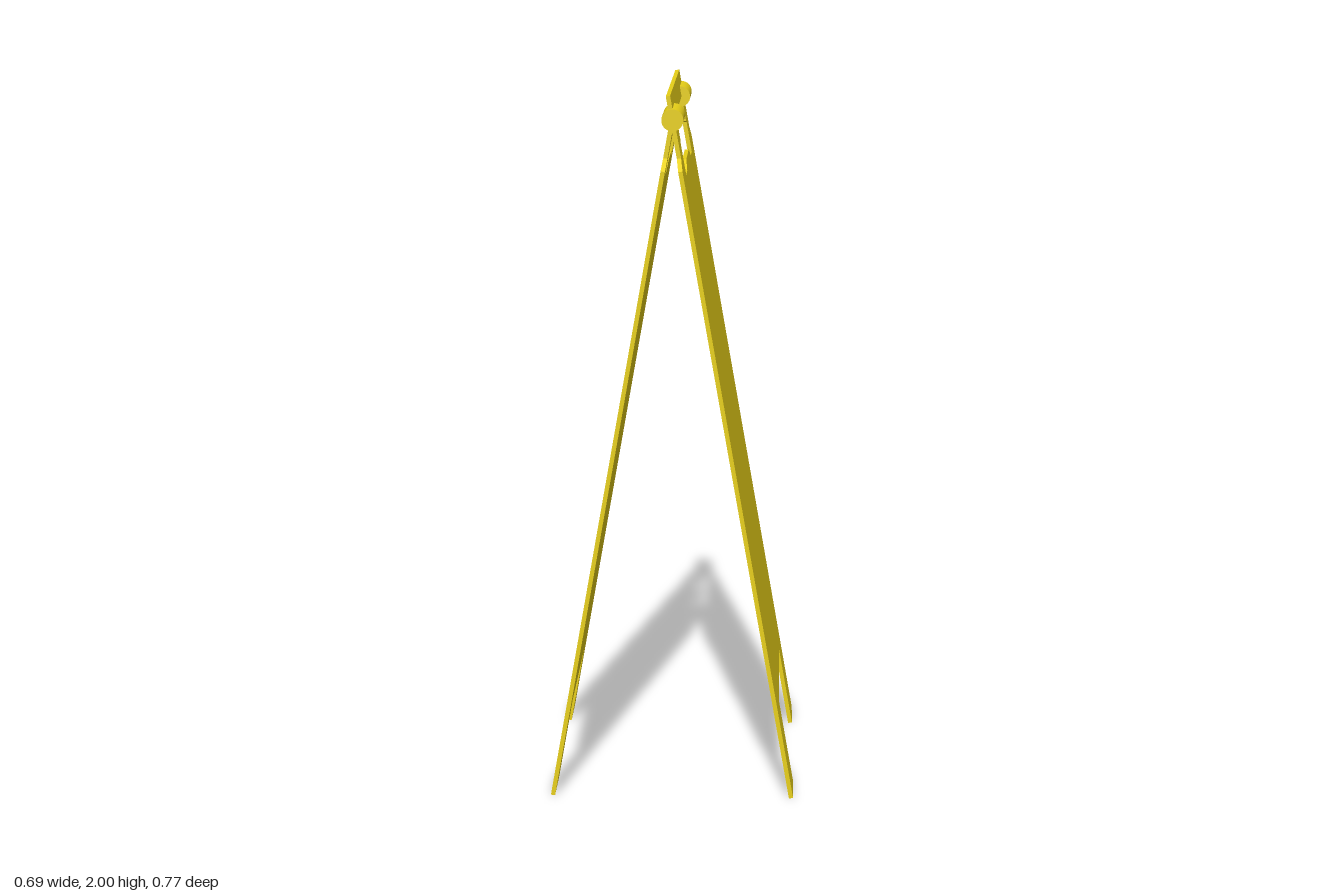
import * as THREE from 'three';

const TILT = THREE.MathUtils.degToRad(10);
const HINGE_Y = 1.935;
const THICK = 0.012;
const COS = Math.cos(TILT);

// Half outline of a panel: [z, height], from the middle of the foot gap round to the handle hole
const HALF = [
  [0.24, 0.24], [0.24, 0.001], [0.385, 0.001], [0.385, 1.8], [0.34, 1.83], [0.34, 1.935],
  [0.222, 1.935], [0.222, 1.862], [0.24, 1.857], [0.24, 1.77], [0.155, 1.77], [0.105, 1.795],
];

// Flat sheet from [z, height] points, measured along the slope from the hinge
function sheet(points) {
  const shape = new THREE.Shape(points.map(([z, y]) => new THREE.Vector2(z, (y - HINGE_Y) / COS)));
  const geo = new THREE.ExtrudeGeometry(shape, { depth: THICK, bevelEnabled: false });
  geo.translate(0, 0, -THICK / 2);
  geo.rotateY(-Math.PI / 2);
  return geo;
}

export function createModel() {
  const group = new THREE.Group();
  const yellow = new THREE.MeshStandardMaterial({ color: 0xe8d018 });

  const add = (name, geo, parent) => {
    const mesh = new THREE.Mesh(geo, yellow);
    mesh.name = name;
    parent.add(mesh);
    return mesh;
  };

  // Two mirrored panels leaning against each other at the hinge
  const mirrored = HALF.map(([z, y]) => [-z, y]).reverse();
  const panelGeo = sheet([...HALF, ...mirrored]);
  for (const side of [1, -1]) {
    const leaf = new THREE.Group();
    leaf.name = side > 0 ? 'leftLeaf' : 'rightLeaf';
    leaf.position.y = HINGE_Y;
    leaf.rotation.z = side * TILT;
    add('panel', panelGeo, leaf);
    // Carrying bar continues one leaf past the hinge
    if (side > 0) {
      add('handleBar', sheet([[-0.34, 1.935], [0.34, 1.935], [0.34, 1.999], [-0.34, 1.999]]), leaf);
    }
    group.add(leaf);
  }

  // Hinge barrels at both ends of the bar
  const barrel = new THREE.CylinderGeometry(0.03, 0.03, 0.142, 32).rotateX(Math.PI / 2);
  for (const side of [1, -1]) {
    add(side > 0 ? 'frontHinge' : 'backHinge', barrel, group).position.set(0.001, HINGE_Y, side * 0.28);
  }

  return group;
}
